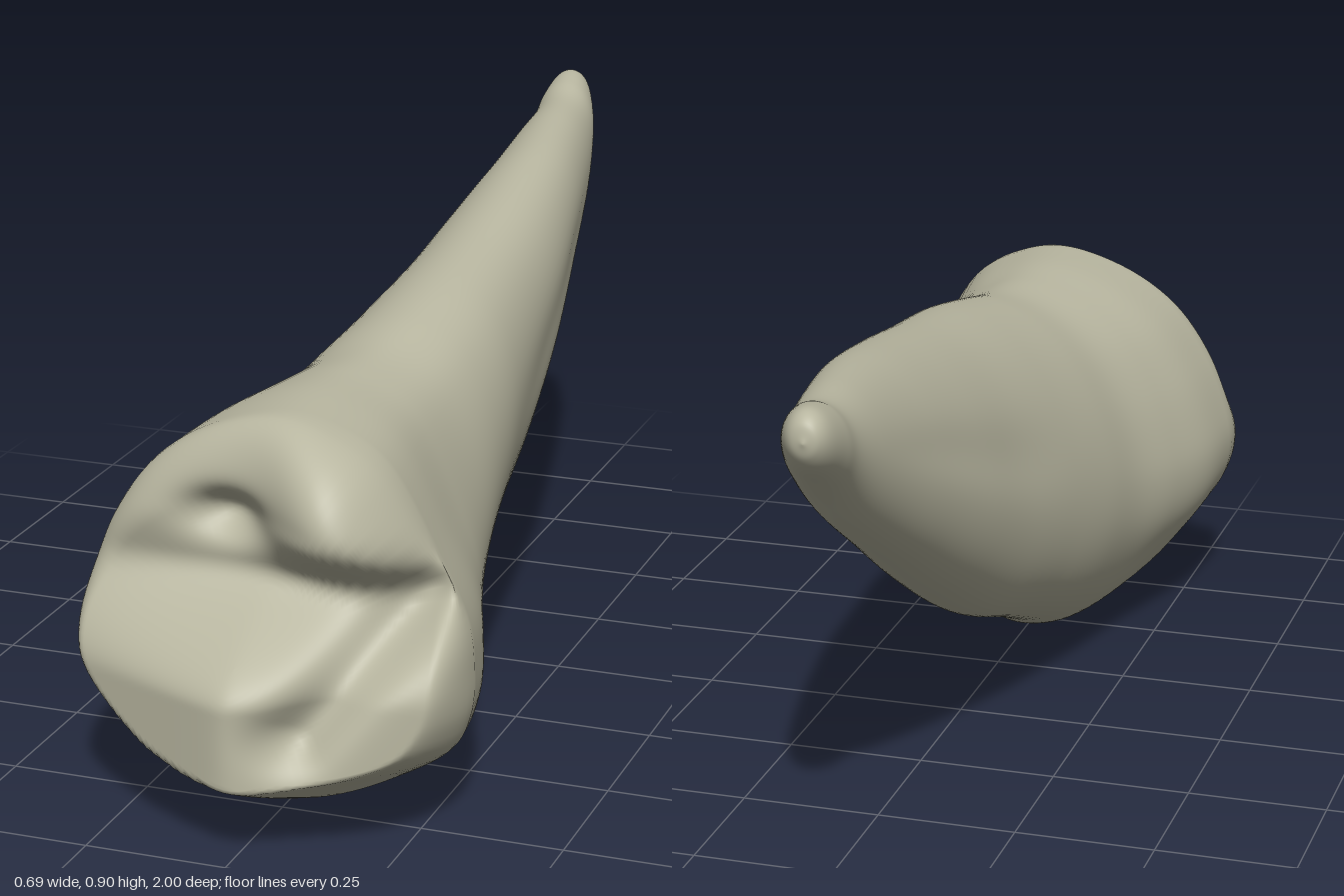
import * as THREE from 'three';

// Stations along the tooth, root tip to crown: z, xMin, xMax, yMin, yMax
const STATIONS = [
  [-1, -0.05, -0.045, 0.85, 0.855],
  [-0.99, -0.072, -0.02, 0.822, 0.885],
  [-0.96, -0.085, 0.0, 0.79, 0.899],
  [-0.9, -0.09, 0.025, 0.75, 0.89],
  [-0.83, -0.09, 0.047, 0.70, 0.873],
  [-0.7, -0.105, 0.08, 0.60, 0.866],
  [-0.5, -0.128, 0.122, 0.47, 0.848],
  [-0.3, -0.152, 0.158, 0.345, 0.818],
  [-0.1, -0.173, 0.182, 0.232, 0.786],
  [0.1, -0.2, 0.204, 0.155, 0.758],
  [0.25, -0.226, 0.221, 0.092, 0.732],
  [0.38, -0.25, 0.242, 0.034, 0.708],
  [0.5, -0.29, 0.275, 0.006, 0.704],
  [0.62, -0.328, 0.315, 0.001, 0.706],
  [0.74, -0.344, 0.341, 0.02, 0.704],
];

// Crown outline, counterclockwise as seen from the biting end
const OUTLINE = [
  [0.341, 0.28], [0.33, 0.37], [0.28, 0.48], [0.195, 0.63], [0.1, 0.69], [0, 0.706],
  [-0.12, 0.67], [-0.22, 0.6], [-0.29, 0.5], [-0.33, 0.4], [-0.343, 0.32], [-0.325, 0.24],
  [-0.27, 0.16], [-0.2, 0.085], [-0.1, 0.025], [0.02, 0], [0.1, 0.015], [0.2, 0.062],
  [0.3, 0.13], [0.335, 0.2],
];

const SEGMENTS = 112, BODY_RINGS = 100, CAP_RINGS = 48;
const { lerp, smoothstep, clamp } = THREE.MathUtils;
const spline = (points, closed) => new THREE.CatmullRomCurve3(points, closed, 'catmullrom', 0.5);
const bump = (d, spread) => Math.exp(-((d / spread) ** 2));

function bitingHeight(x, y) {
  // Lower half: a blunt ridge highest in the middle, falling to both sides
  const ridge = 1.01 - 0.43 * Math.hypot(x, 0.025);
  let z = lerp(0.785, ridge, 1 - smoothstep(y, 0.27, 0.46));
  // Upper cusp, tallest towards the left side
  const cusp = 0.81 + 0.1 * bump(x - 0.14, 0.12);
  z = lerp(z, cusp, smoothstep(y, 0.41, 0.54));
  // Pit below the upper rim
  z -= 0.06 * bump(x + 0.07, 0.07) * bump(y - 0.535, 0.04);
  // Groove running from the middle up to the left side
  const ax = 0.1, ay = 0.22, dx = 0.19, dy = 0.24;
  const t = clamp(((x - ax) * dx + (y - ay) * dy) / (dx * dx + dy * dy), 0, 1.4);
  const d = Math.hypot(x - ax - t * dx, y - ay - t * dy);
  return z - 0.065 * bump(d, 0.05);
}

function toothGeometry() {
  const centres = spline(STATIONS.map(([z, a, b, c, d]) => new THREE.Vector3((a + b) / 2, (c + d) / 2, z)));
  const radii = spline(STATIONS.map(([z, a, b, c, d]) => new THREE.Vector3((b - a) / 2, (d - c) / 2, z)));
  const outline = spline(OUTLINE.map(([x, y]) => new THREE.Vector3(x / 0.342, (y - 0.353) / 0.353, 0)), true);
  const unit = Array.from({ length: SEGMENTS }, (_, j) => outline.getPoint(j / SEGMENTS));
  const positions = [];

  // Root and crown wall: slanted ovals blending into the crown outline
  for (let i = 0; i <= BODY_RINGS; i++) {
    const c = centres.getPoint(i / BODY_RINGS), r = radii.getPoint(i / BODY_RINGS);
    const crown = smoothstep(c.z, 0.1, 0.62);
    const hollow = 0.05 * smoothstep(c.z, -0.8, -0.4) * (1 - smoothstep(c.z, -0.2, 0.2));
    const slant = 0.24 * smoothstep(c.z, -0.95, -0.5);
    for (const p of unit) {
      const a = Math.atan2(p.y, p.x);
      const side = 1 - hollow * bump(Math.sin(a) - 0.15, 0.25);
      const ox = Math.cos(a) * side * (1 - slant * 0.1) + slant * Math.sin(a);
      positions.push(
        c.x + r.x * lerp(ox, p.x, crown),
        c.y + r.y * lerp(Math.sin(a), p.y, crown),
        c.z);
    }
  }

  // Biting surface: rings closing inwards, bevelled below and rounded above
  const rim = positions.slice(-SEGMENTS * 3);
  const rimZ = rim[2], midY = 0.33;
  for (let i = 1; i <= CAP_RINGS; i++) {
    const s = 1 - (i / CAP_RINGS) ** 1.4;
    for (let j = 0; j < SEGMENTS; j++) {
      const rx = rim[j * 3], ry = rim[j * 3 + 1] - midY;
      const up = ry / Math.hypot(rx, ry);
      const width = 0.1 + 0.26 * up * up;
      const t = Math.min((1 - s) / width, 1);
      const bevel = smoothstep(-up, 0.1, 0.9);
      const rise = lerp(Math.sqrt(1 - (1 - t) ** 2), t * (1.15 - 0.15 * t), bevel);
      const x = rx * s, y = midY + ry * s;
      positions.push(x, y, lerp(rimZ, bitingHeight(x, y), rise));
    }
  }

  const index = [];
  for (let i = 0; i < BODY_RINGS + CAP_RINGS; i++) {
    for (let j = 0; j < SEGMENTS; j++) {
      const k = (j + 1) % SEGMENTS;
      const a = i * SEGMENTS + j, b = i * SEGMENTS + k;
      index.push(a, b, a + SEGMENTS, b, b + SEGMENTS, a + SEGMENTS);
    }
  }
  // Close the root tip
  const tip = positions.length / 3;
  positions.push(-0.047, 0.852, -1);
  for (let j = 0; j < SEGMENTS; j++) index.push(tip, (j + 1) % SEGMENTS, j);

  const geometry = new THREE.BufferGeometry();
  geometry.setAttribute('position', new THREE.Float32BufferAttribute(positions, 3));
  geometry.setIndex(index);
  geometry.computeVertexNormals();
  return geometry;
}

export function createModel() {
  const enamel = new THREE.MeshStandardMaterial({ color: 0xb8b6a0 });
  enamel.name = 'enamel';
  const tooth = new THREE.Mesh(toothGeometry(), enamel);
  tooth.name = 'tooth';
  const group = new THREE.Group();
  group.name = 'toothModel';
  group.add(tooth);
  return group;
}
